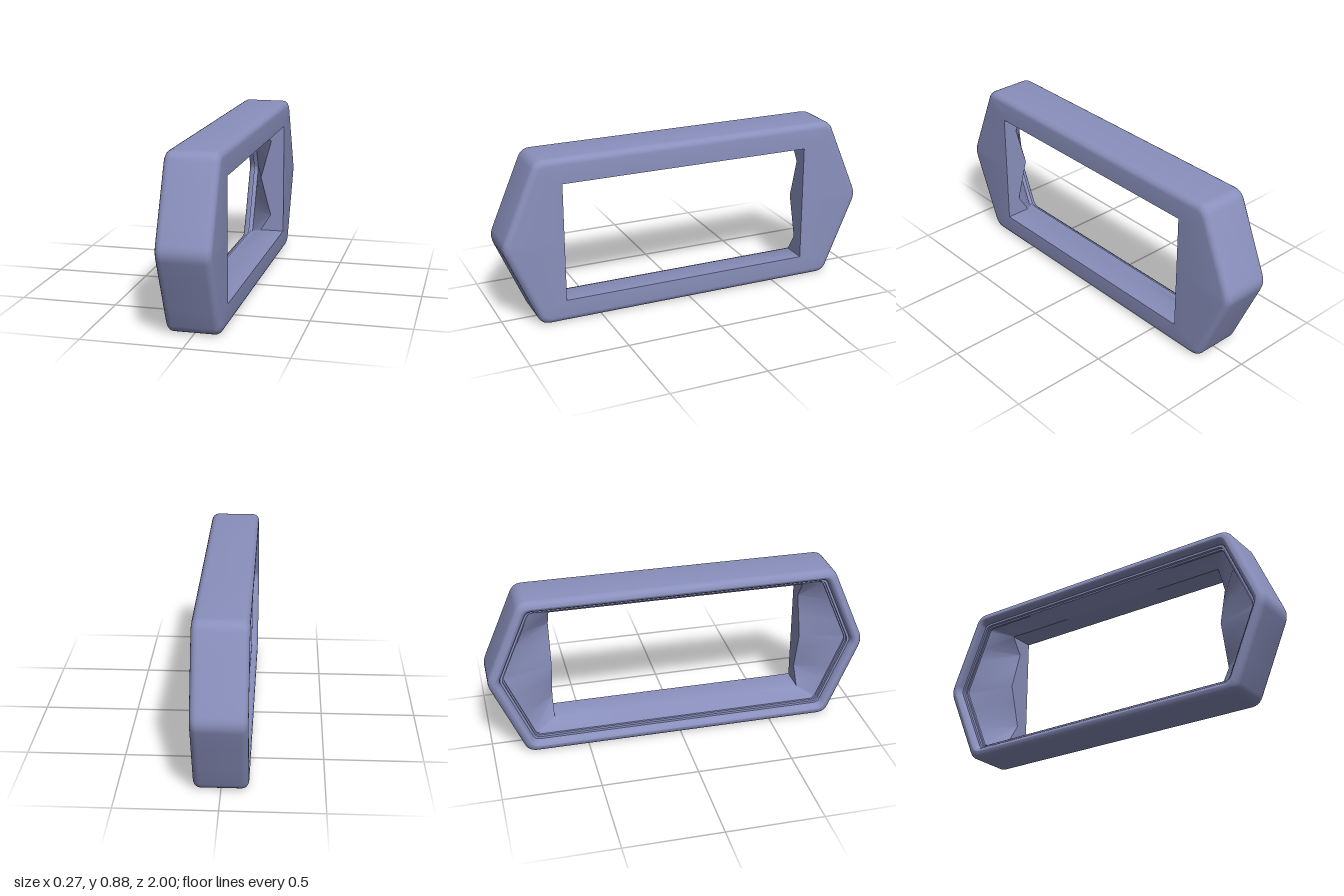
import * as THREE from 'three';
import { toCreasedNormals } from 'three/addons/utils/BufferGeometryUtils.js';

const HALF = 0.135, MID = 0.4375, CORNER_STEPS = 6;
const EDGE_STOPS = [0.3, 0.5, 0.7];

// Long hexagon in (z, y), shrunk inwards by d
function hexCorners(d) {
  const tip = 1.008 - 1.1 * d, z = 0.82 - 0.65 * d, h = MID - d;
  return [[tip, 0], [z, h], [-z, h], [-tip, 0], [-z, -h], [z, -h]]
    .map(([a, b]) => new THREE.Vector2(a, MID + b));
}

// Rounded hexagon ring at depth x
function hexRing(d, x) {
  const c = hexCorners(d), r = Math.max(0.015, 0.045 - d * 0.3), ring = [];
  const toward = (a, b) => b.clone().sub(a).setLength(r).add(a);
  c.forEach((v, i) => {
    const next = c[(i + 1) % 6], start = toward(v, c[(i + 5) % 6]), end = toward(v, next);
    const bend = new THREE.QuadraticBezierCurve(start, v, end);
    bend.getPoints(CORNER_STEPS).forEach((p) => ring.push([x, p.y, p.x]));
    const stop = toward(next, v);
    EDGE_STOPS.forEach((t) => {
      const p = end.clone().lerp(stop, t);
      ring.push([x, p.y, p.x]);
    });
  });
  return ring;
}

// Rectangular window ring with the same point layout; notch deepens it near its corners
function windowRing(x, notch = 0) {
  const c = [[0.69, MID], [0.69, 0.745], [-0.66, 0.745], [-0.66, MID], [-0.66, 0.12], [0.69, 0.12]];
  const ring = [];
  c.forEach(([z, y], i) => {
    const [z1, y1] = c[(i + 1) % 6];
    for (let k = 0; k <= CORNER_STEPS; k++) ring.push([x, y, z]);
    EDGE_STOPS.forEach((t) => {
      const fromTip = i % 3 === 0 ? t : 1 - t; // distance along the half side from its middle
      const dx = i % 3 === 1 ? 0 : notch * Math.min(fromTip / 0.7, (1 - fromTip) / 0.3);
      ring.push([x + dx, THREE.MathUtils.lerp(y, y1, t), THREE.MathUtils.lerp(z, z1, t)]);
    });
  });
  return ring;
}

// Skin successive rings, skipping collapsed triangles
function loft(rings) {
  const n = rings[0].length, pos = [];
  const same = (a, b) => Math.hypot(a[0] - b[0], a[1] - b[1], a[2] - b[2]) < 1e-6;
  const tri = (a, b, c) => {
    if (!same(a, b) && !same(b, c) && !same(a, c)) pos.push(...a, ...b, ...c);
  };
  for (let r = 0; r < rings.length - 1; r++) {
    for (let i = 0; i < n; i++) {
      const j = (i + 1) % n, a = rings[r], b = rings[r + 1];
      tri(a[i], a[j], b[i]);
      tri(a[j], b[j], b[i]);
    }
  }
  const g = new THREE.BufferGeometry();
  g.setAttribute('position', new THREE.Float32BufferAttribute(pos, 3));
  return toCreasedNormals(g, 0.6);
}

export function createModel() {
  const group = new THREE.Group();
  group.name = 'hexagonalFrame';
  const material = new THREE.MeshStandardMaterial({ color: 0x8a90bd });
  const R = 0.035, STEPS = 5;

  // Window face, rounded over to the outer wall
  const outer = [windowRing(HALF)];
  for (let k = 0; k <= STEPS; k++) {
    const a = (k / STEPS) * Math.PI / 2;
    outer.push(hexRing(R * (1 - Math.sin(a)), HALF - R + R * Math.cos(a)));
  }
  // Outer wall, rounded over to the lip of the open side
  for (let k = 0; k <= STEPS; k++) {
    const a = (k / STEPS) * Math.PI / 2;
    outer.push(hexRing(R * (1 - Math.cos(a)), -HALF + R - R * Math.sin(a)));
  }
  const shell = new THREE.Mesh(loft(outer), material);
  shell.name = 'outerShell';

  // Stepped lip, sloping recess and straight window cut
  const steps = [[R, -HALF], [0.045, -0.132], [0.055, -0.12], [0.06, -0.1],
    [0.072, -0.1], [0.072, -0.085], [0.08, -0.085], [0.08, -0.073]];
  const inner = steps.map(([d, x]) => hexRing(d, x));
  inner.push(windowRing(0, 0.06), windowRing(HALF));
  const recess = new THREE.Mesh(loft(inner), material);
  recess.name = 'innerRecess';

  group.add(shell, recess);
  return group;
}
